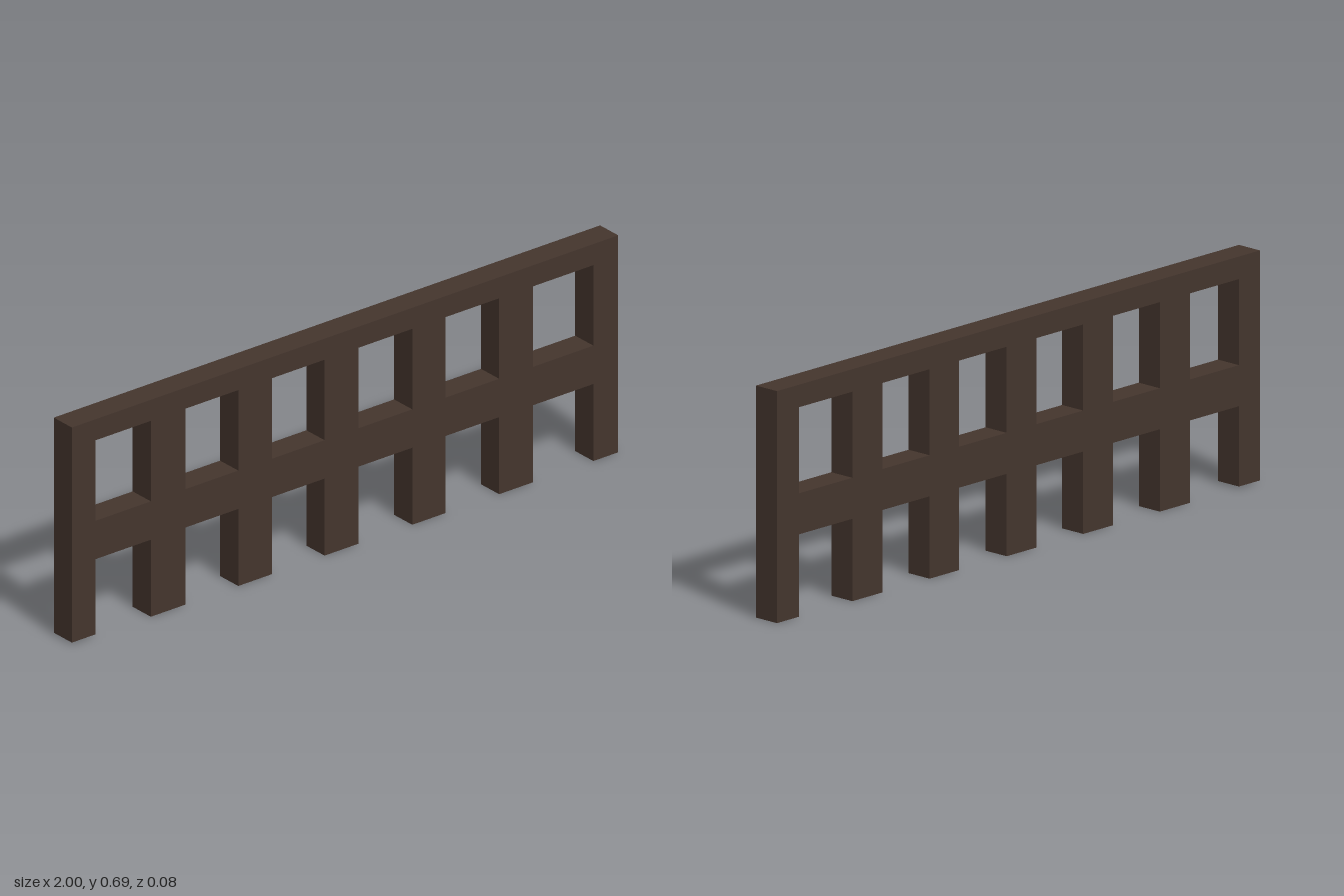
import * as THREE from 'three';

const DEPTH = 0.083, TOP = 0.69;
const RAIL_TOP = 0.367, RAIL_BOTTOM = 0.245, WINDOW_TOP = 0.623;

// Left and right edge of each post
const POSTS = [
  [-1, -0.913], [-0.711, -0.585], [-0.391, -0.268], [-0.075, 0.049],
  [0.246, 0.368], [0.564, 0.688], [0.909, 1],
];

export function createModel() {
  const group = new THREE.Group();
  group.name = 'fence';
  const wood = new THREE.MeshStandardMaterial({ color: 0x44352d });
  wood.name = 'dark brown wood';

  // Outline: along the top, then down and up around each leg
  const outline = new THREE.Shape();
  outline.moveTo(1, TOP);
  outline.lineTo(-1, TOP);
  POSTS.forEach(([left, right], i) => {
    const foot = i === 0 ? 0.006 : 0; // the first leg is slightly shorter
    if (i > 0) outline.lineTo(left, RAIL_BOTTOM);
    outline.lineTo(left, foot);
    outline.lineTo(right, foot);
    if (i < POSTS.length - 1) outline.lineTo(right, RAIL_BOTTOM);
  });
  outline.closePath();

  // Openings between the posts, above the middle rail
  for (let i = 0; i < POSTS.length - 1; i++) {
    const a = POSTS[i][1], b = POSTS[i + 1][0];
    const hole = new THREE.Path();
    hole.moveTo(a, RAIL_TOP);
    hole.lineTo(a, WINDOW_TOP);
    hole.lineTo(b, WINDOW_TOP);
    hole.lineTo(b, RAIL_TOP);
    hole.closePath();
    outline.holes.push(hole);
  }

  const geometry = new THREE.ExtrudeGeometry(outline, { depth: DEPTH, bevelEnabled: false });
  geometry.translate(0, 0, -DEPTH / 2);
  const frame = new THREE.Mesh(geometry, wood);
  frame.name = 'fenceFrame';
  group.add(frame);
  return group;
}
